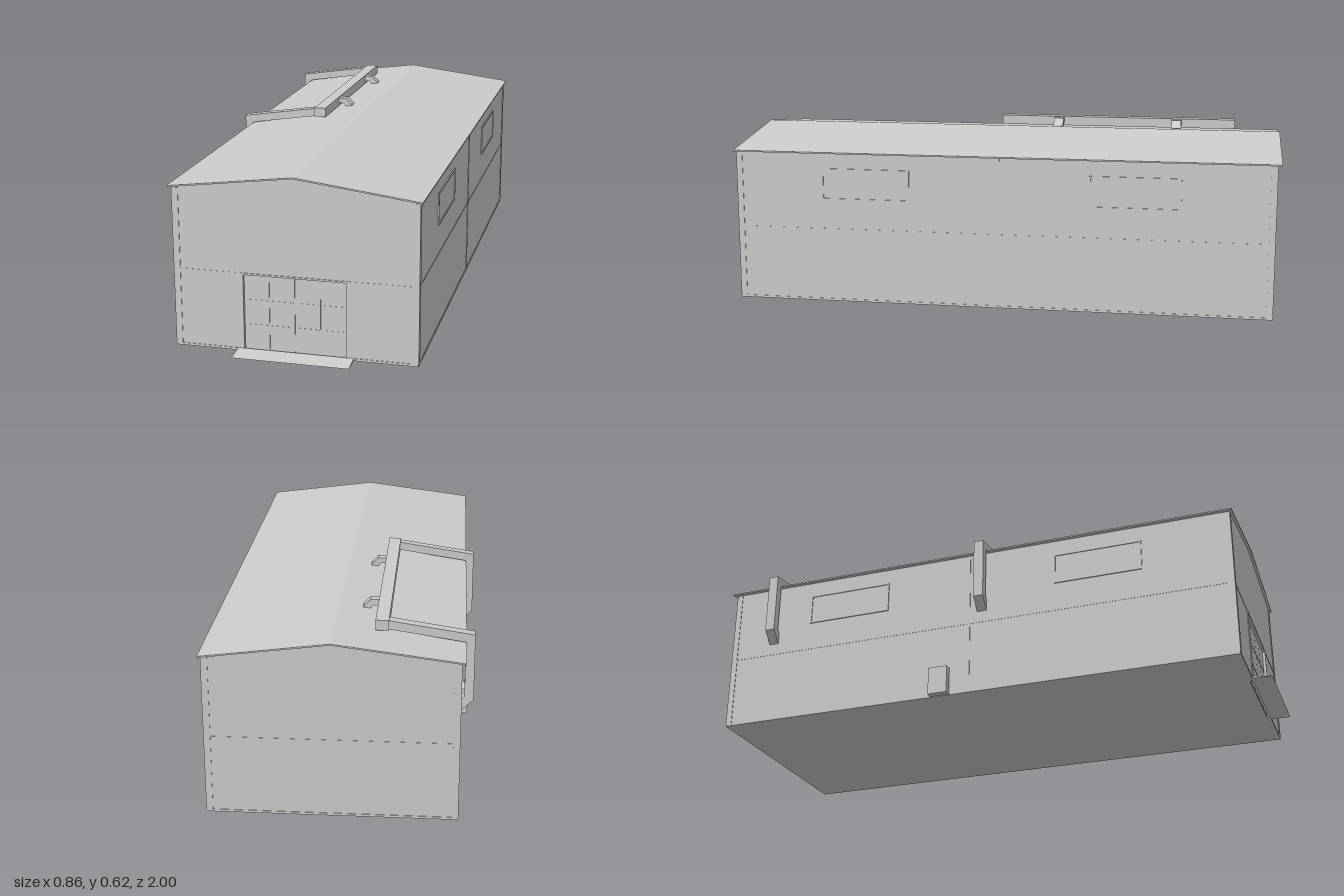
import * as THREE from 'three';

const X0 = -0.39, X1 = 0.42, XM = 0.015, ZF = 0.93, ZB = -0.985; // wall planes
const EAVE = 0.542, RIDGE = 0.594, SEAM_Y = 0.267;

export function createModel() {
  const model = new THREE.Group();
  const material = new THREE.MeshStandardMaterial({ color: 0xcccccc, flatShading: true });

  const add = (name, geometry, parent = model) => {
    const mesh = new THREE.Mesh(geometry, material);
    mesh.name = name;
    parent.add(mesh);
    return mesh;
  };
  // Box given by its limits on each axis
  const box = (name, xa, xb, ya, yb, za, zb, parent) => {
    const g = new THREE.BoxGeometry(xb - xa, yb - ya, zb - za);
    g.translate((xa + xb) / 2, (ya + yb) / 2, (za + zb) / 2);
    return add(name, g, parent);
  };
  // Outline in x and y, extruded from za to zb
  const prism = (name, points, za, zb, parent) => {
    const shape = new THREE.Shape(points.map(([x, y]) => new THREE.Vector2(x, y)));
    const g = new THREE.ExtrudeGeometry(shape, { depth: zb - za, bevelEnabled: false });
    g.translate(0, 0, za);
    return add(name, g, parent);
  };
  const group = (name) => {
    const g = new THREE.Group();
    g.name = name;
    model.add(g);
    return g;
  };

  // Hall and the front wall with its door opening
  const DX0 = -0.157, DX1 = 0.185, DTOP = 0.262, recess = 0.01;
  const gable = [[X1, EAVE], [XM, RIDGE], [X0, EAVE]];
  prism('hall', [[X0, 0], [X1, 0], ...gable], ZB, ZF - recess);
  prism('frontWall', [[X0, 0], [DX0, 0], [DX0, DTOP], [DX1, DTOP], [DX1, 0], [X1, 0], ...gable], ZF - recess, ZF);

  // Thin pitched roof with overhang
  const t = 0.005;
  prism('roof', [
    [-0.405, 0.541], [XM, RIDGE], [0.43, 0.541],
    [0.43, 0.541 + t], [XM, RIDGE + t], [-0.405, 0.541 + t],
  ], -1.0, 0.94);

  // Folding door: four leaves with two rails
  const door = group('door');
  const leaf = (DX1 - DX0) / 4;
  for (let i = 0; i < 4; i++) {
    const x = DX0 + i * leaf;
    box('doorLeaf', x + 0.001, x + leaf - 0.001, 0.002, DTOP - 0.001, ZF - recess, ZF - 0.007, door);
    for (const y of [0.09, 0.175]) {
      box('doorRail', x + 0.006, x + leaf - 0.006, y, y + 0.002, ZF - 0.007, ZF - 0.006, door);
    }
  }
  // Door frame
  const frame = group('doorFrame');
  box('frameSide', DX0 - 0.006, DX0, 0, DTOP, ZF, ZF + 0.003, frame);
  box('frameSide', DX1, DX1 + 0.006, 0, DTOP, ZF, ZF + 0.003, frame);
  box('frameTop', DX0 - 0.006, DX1 + 0.006, DTOP, DTOP + 0.006, ZF, ZF + 0.003, frame);

  // Wedge ramp: outline in z and y, turned so it runs across the door
  const rampShape = new THREE.Shape([[ZF, 0], [1.0, 0], [ZF, 0.008]].map((p) => new THREE.Vector2(...p)));
  const rampGeo = new THREE.ExtrudeGeometry(rampShape, { depth: 0.39, bevelEnabled: false });
  rampGeo.rotateY(-Math.PI / 2).translate(0.21, 0, 0);
  add('ramp', rampGeo);

  // Corner trims on all four corners
  const trims = group('wallTrim');
  const p = 0.002;
  for (const [xa, xb] of [[X0 - p, X0 + 0.02], [X1 - 0.02, X1 + p]]) {
    box('cornerTrim', xa, xb, 0.008, 0.54, ZF - 0.02, ZF + p, trims);
    box('cornerTrim', xa, xb, 0.008, 0.54, ZB - p, ZB + 0.02, trims);
  }

  // Side walls: seam, plinth, middle post and two framed windows
  for (const [wall, s] of [[X0, -1], [X1, 1]]) {
    const strip = (name, ya, yb, za, zb, d = p) =>
      box(name, Math.min(wall, wall + s * d), Math.max(wall, wall + s * d), ya, yb, za, zb, trims);
    strip('sidePlinth', 0, 0.008, ZB, ZF);
    strip('sideSeam', SEAM_Y - 0.001, SEAM_Y + 0.001, ZB, ZF, 0.001);
    strip('middlePost', 0.008, 0.54, -0.03, -0.022);
    for (const z of [-0.505, 0.455]) {
      const h = 0.16, ya = 0.373, yb = 0.487, w = 0.006;
      strip('windowFrame', ya, ya + w, z - h, z + h, 0.004);
      strip('windowFrame', yb - w, yb, z - h, z + h, 0.004);
      strip('windowFrame', ya + w, yb - w, z - h, z - h + w, 0.004);
      strip('windowFrame', ya + w, yb - w, z + h - w, z + h, 0.004);
      strip('windowPane', ya + w, yb - w, z - h + w, z + h - w, 0.001);
    }
  }
  // End walls: seams and plinths
  box('backSeam', X0, X1, SEAM_Y - 0.001, SEAM_Y + 0.001, ZB - 0.001, ZB, trims);
  box('backPlinth', X0, X1, 0, 0.008, ZB - p, ZB, trims);
  for (const [xa, xb] of [[X0, DX0 - 0.006], [DX1 + 0.006, X1]]) {
    box('frontSeam', xa, xb, SEAM_Y - 0.001, SEAM_Y + 0.001, ZF, ZF + 0.001, trims);
    box('frontPlinth', xa, xb, 0, 0.008, ZF, ZF + p, trims);
  }

  // Roof duct: main run, two arms bent down the wall, two outlets on the roof
  const duct = group('roofDuct');
  box('mainDuct', -0.158, -0.115, 0.586, 0.62, -0.838, 0.048, duct);
  for (const z of [-0.83, 0.005]) {
    prism('ductArm', [
      [-0.158, 0.616], [-0.432, 0.575], [-0.432, 0.352], [-0.388, 0.308],
      [-0.388, 0.348], [-0.402, 0.362], [-0.402, 0.55], [-0.158, 0.587],
    ], z, z + 0.036, duct);
  }
  for (const z of [-0.638, -0.192]) {
    prism('ductOutlet', [
      [-0.115, 0.617], [-0.115, 0.597], [-0.096, 0.597], [-0.086, 0.586],
      [-0.062, 0.59], [-0.064, 0.595], [-0.087, 0.617],
    ], z, z + 0.036, duct);
  }

  // Utility cabinet beside the wall
  box('utilityCabinet', -0.423, -0.397, 0, 0.1, -0.165, -0.095);

  return model;
}
